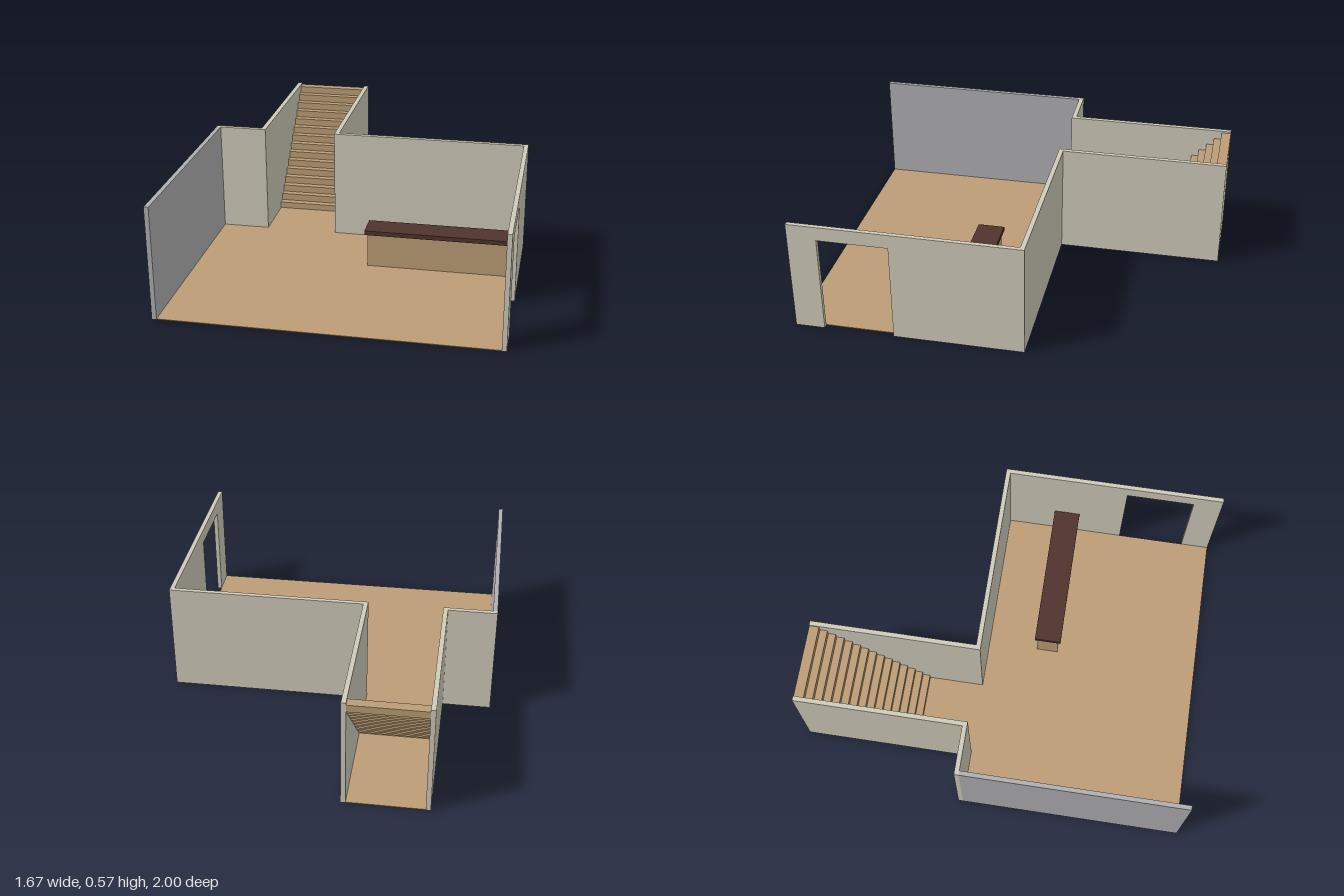
import * as THREE from 'three';

const mat = (color) => new THREE.MeshStandardMaterial({ color });

export function createModel() {
  const group = new THREE.Group();
  const cream = mat(0xd0cbb9), grey = mat(0xb0b0b3), wood = mat(0xbc9e76), darkWood = mat(0x50332e);

  // Box given by its min and max corners
  const box = (name, material, [x0, y0, z0], [x1, y1, z1], parent = group) => {
    const mesh = new THREE.Mesh(new THREE.BoxGeometry(x1 - x0, y1 - y0, z1 - z0), material);
    mesh.position.set((x0 + x1) / 2, (y0 + y1) / 2, (z0 + z1) / 2);
    mesh.name = name;
    parent.add(mesh);
    return mesh;
  };

  // Main plan dimensions
  const H = 0.575, outer = 0.835, inner = 0.812;
  const backOut = -0.151, backIn = -0.127;
  const hallL = -0.565, hallR = -0.188, t = 0.024;

  // Floor: room plus stair hall, a thin T-like slab inside the walls
  const plan = [[-inner, 1], [inner, 1], [inner, backIn], [hallR, backIn],
    [hallR, -1], [hallL, -1], [hallL, backIn], [-inner, backIn]];
  const floorShape = new THREE.Shape(plan.map(([x, z]) => new THREE.Vector2(x, -z)));
  const floorGeo = new THREE.ExtrudeGeometry(floorShape, { depth: 0.004, bevelEnabled: false });
  floorGeo.rotateX(-Math.PI / 2);
  const floor = new THREE.Mesh(floorGeo, wood);
  floor.name = 'floor';
  group.add(floor);

  // Solid walls
  box('greySideWall', grey, [-outer, 0, backIn], [-inner, H, 1]);
  box('backWallShort', cream, [-outer, 0, backOut], [hallL, H, backIn]);
  box('backWallLong', cream, [hallR, 0, backOut], [outer, H, backIn]);
  box('hallWallOuter', cream, [hallL - t, 0, -1], [hallL, H, backOut]);
  box('hallWallInner', cream, [hallR, 0, -1], [hallR + t, H, backOut]);

  // Side wall with a doorway, drawn in z/y and extruded along x
  const doorway = [[1, 0], [1, H], [backIn, H], [backIn, 0],
    [0.5, 0], [0.5, 0.503], [0.853, 0.503], [0.853, 0]];
  const wallShape = new THREE.Shape(doorway.map(([z, y]) => new THREE.Vector2(-z, y)));
  const wallGeo = new THREE.ExtrudeGeometry(wallShape, { depth: outer - inner, bevelEnabled: false });
  wallGeo.rotateY(Math.PI / 2);
  const doorWall = new THREE.Mesh(wallGeo, cream);
  doorWall.position.x = inner;
  doorWall.name = 'doorwayWall';
  group.add(doorWall);

  // Staircase: overlapping blocks, open underneath
  const stairs = new THREE.Group();
  stairs.name = 'staircase';
  group.add(stairs);
  const steps = 15, rise = 0.565 / steps, run = 0.0382, depth = 0.05;
  for (let i = 0; i < steps; i++) {
    const front = -0.415 - i * run;
    box(`step${i + 1}`, wood, [hallL, i * rise, front - depth], [hallR, (i + 1) * rise, front], stairs);
  }

  // Counter with an overhanging top
  const counter = new THREE.Group();
  counter.name = 'counter';
  group.add(counter);
  box('counterBody', wood, [0.062, 0, 0.135], [inner, 0.18, 0.247], counter);
  box('counterTop', darkWood, [0.047, 0.18, 0.122], [inner, 0.203, 0.26], counter);

  return group;
}
